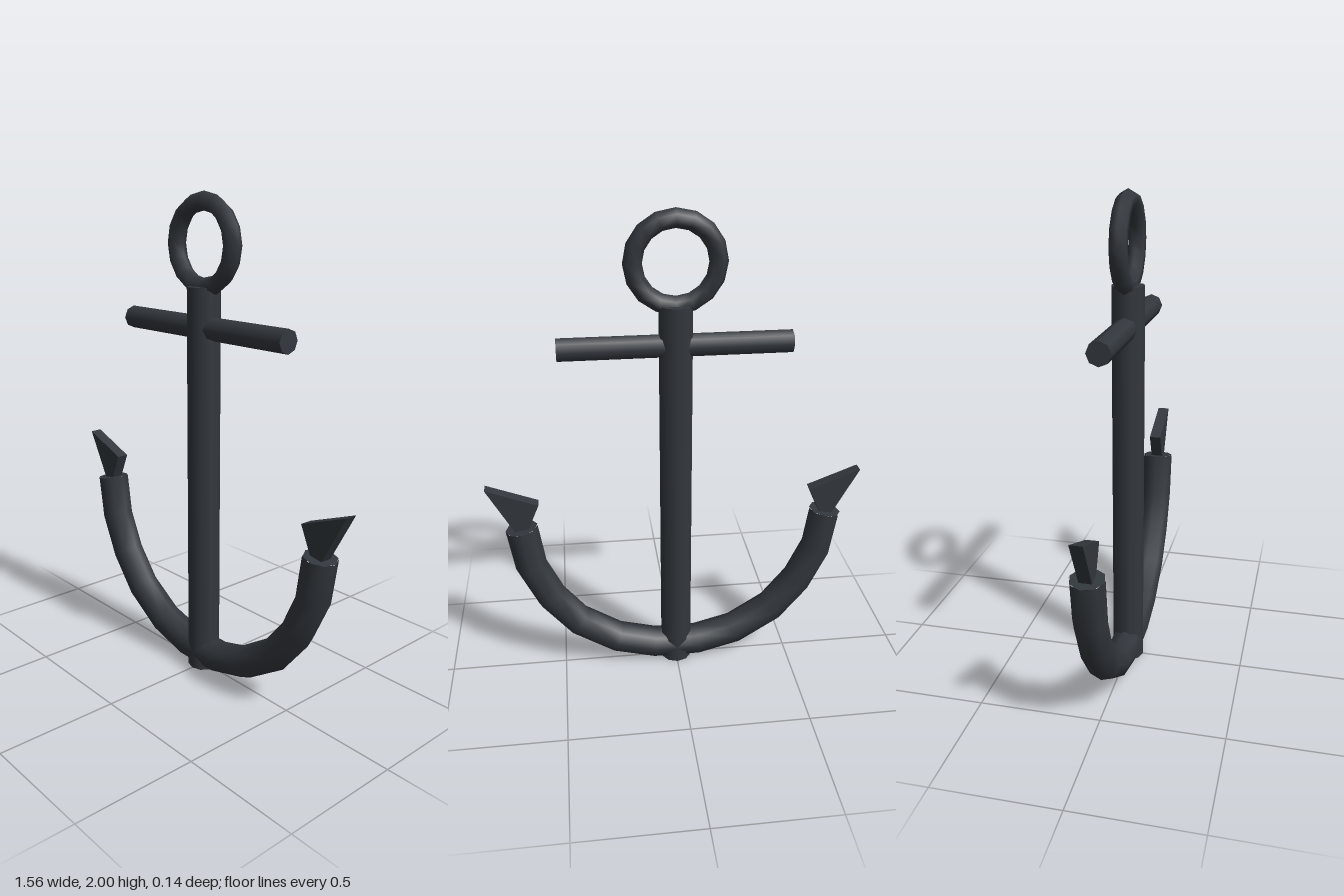
import * as THREE from 'three';

const iron = new THREE.MeshStandardMaterial({ color: 0x33383e });

function part(name, geometry, parent) {
  const mesh = new THREE.Mesh(geometry, iron);
  mesh.name = name;
  parent.add(mesh);
  return mesh;
}

export function createModel() {
  const anchor = new THREE.Group();
  anchor.name = 'anchor';

  // Upright shank
  part('shank', new THREE.CylinderGeometry(0.067, 0.067, 1.64, 10), anchor).position.y = 0.82;

  // Horizontal stock
  const stock = part('stock', new THREE.CylinderGeometry(0.047, 0.047, 0.92, 8), anchor);
  stock.rotation.z = Math.PI / 2;
  stock.position.y = 1.478;

  // Ring on top
  part('ring', new THREE.TorusGeometry(0.163, 0.037, 6, 16), anchor).position.y = 1.8;

  // Curved arms: one faceted tube sweeping from tip to tip
  const half = [[0.095, 0.071], [0.264, 0.116], [0.43, 0.222], [0.543, 0.361], [0.62, 0.525], [0.648, 0.708]];
  const nodes = [
    ...half.slice().reverse().map(([x, y]) => new THREE.Vector3(-x, y, 0)),
    ...half.map(([x, y]) => new THREE.Vector3(x, y, 0)),
  ];
  const sweep = new THREE.CatmullRomCurve3(nodes);
  sweep.getPointAt = (u, target) => sweep.getPoint(u, target); // rings sit exactly on the nodes
  sweep.getTangentAt = (u, target) => sweep.getTangent(u, target);
  const armRadius = 0.068;
  part('arms', new THREE.TubeGeometry(sweep, nodes.length - 1, armRadius, 8), anchor);

  for (const side of [-1, 1]) {
    const name = side > 0 ? 'left' : 'right';

    // Flat cap closing the arm end
    const u = side > 0 ? 1 : 0;
    const cap = part(name + 'ArmCap', new THREE.CircleGeometry(armRadius, 8), anchor);
    cap.position.copy(sweep.getPoint(u));
    const outward = sweep.getTangent(u).multiplyScalar(side);
    cap.quaternion.setFromUnitVectors(new THREE.Vector3(0, 0, 1), outward);

    // Triangular fluke
    const outline = new THREE.Shape([[0.645, 0.65], [0.782, 0.903], [0.57, 0.822]]
      .map(([x, y]) => new THREE.Vector2(side * x, y)));
    const fluke = new THREE.ExtrudeGeometry(outline, { depth: 0.05, bevelEnabled: false });
    part(name + 'Fluke', fluke.translate(0, 0, -0.025), anchor);
  }

  return anchor;
}
